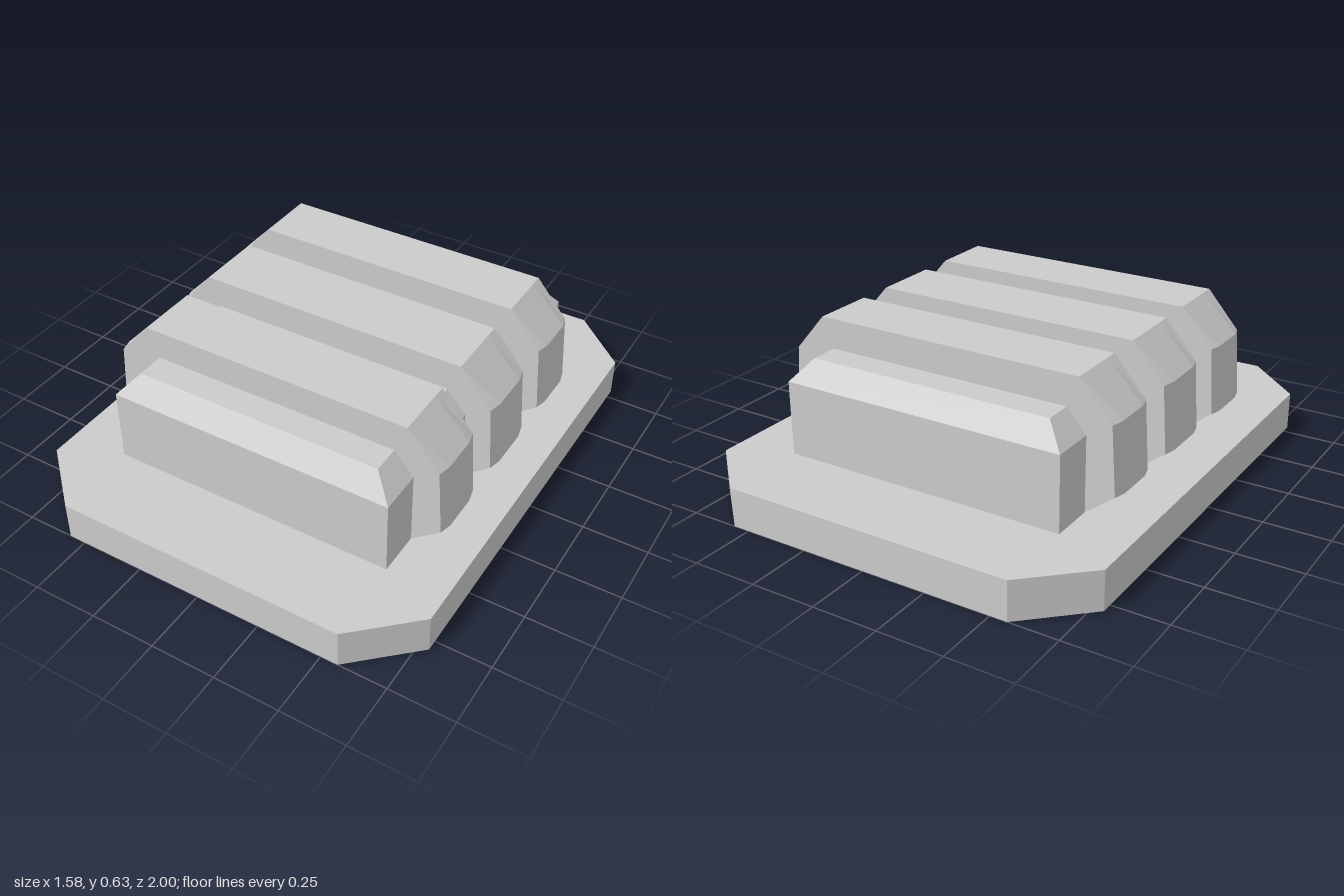
import * as THREE from 'three';

const material = new THREE.MeshStandardMaterial({ color: 0xcccccc, flatShading: true });

// Skins a stack of convex rings (counter-clockwise seen from the last one) and caps both ends.
function loft(name, rings) {
  const pos = [];
  const tri = (a, b, c) => pos.push(...a, ...b, ...c);
  const n = rings[0].length;
  for (let i = 0; i < rings.length - 1; i++) {
    for (let j = 0; j < n; j++) {
      const k = (j + 1) % n;
      const [a, b, c, d] = [rings[i][j], rings[i][k], rings[i + 1][k], rings[i + 1][j]];
      tri(a, b, c);
      tri(a, c, d);
    }
  }
  const first = rings[0];
  const last = rings[rings.length - 1];
  for (let j = 1; j < n - 1; j++) {
    tri(first[0], first[j + 1], first[j]);
    tri(last[0], last[j], last[j + 1]);
  }
  const geometry = new THREE.BufferGeometry();
  geometry.setAttribute('position', new THREE.Float32BufferAttribute(pos, 3));
  geometry.computeVertexNormals();
  const mesh = new THREE.Mesh(geometry, material);
  mesh.name = name;
  return mesh;
}

// Horizontal rings at height y
const octagon = (y) => {
  const half = [[0.565, 1], [0.79, 0.79], [0.79, -0.79], [0.565, -1]];
  return [...half, ...half.map(([x, z]) => [-x, -z])].map(([x, z]) => [x, y, z]);
};
const rectangle = (x, z, y) => [[x, y, z], [x, y, -z], [-x, y, -z], [-x, y, z]];

// Upright rib outline at depth z, its flanks pulled in by inset
const ribRing = (z, inset) => {
  const half = [[0.56, 0.15], [0.685 - inset, 0.235], [0.668 - inset, 0.492], [0.53, 0.635]];
  const mirrored = half.map(([x, y]) => [-x, y]).reverse();
  return [...half, ...mirrored].map(([x, y]) => [x, y, z]);
};

export function createModel() {
  const model = new THREE.Group();
  model.name = 'ribbedBlock';

  // Base slab with cut corners
  model.add(loft('basePlate', [octagon(0), octagon(0.15)]));

  // Central block with bevelled top
  model.add(loft('body', [
    rectangle(0.56, 0.677, 0.15),
    rectangle(0.56, 0.677, 0.435),
    rectangle(0.485, 0.615, 0.52),
  ]));

  // Three bands over the block, flanks slightly bulged
  const ribs = new THREE.Group();
  ribs.name = 'ribs';
  for (const [z, half] of [[-0.387, 0.12], [0, 0.131], [0.387, 0.12]]) {
    ribs.add(loft('rib', [
      ribRing(z - half, 0.014),
      ribRing(z - half * 0.6, 0.002),
      ribRing(z + half * 0.6, 0.002),
      ribRing(z + half, 0.014),
    ]));
  }
  model.add(ribs);
  return model;
}
